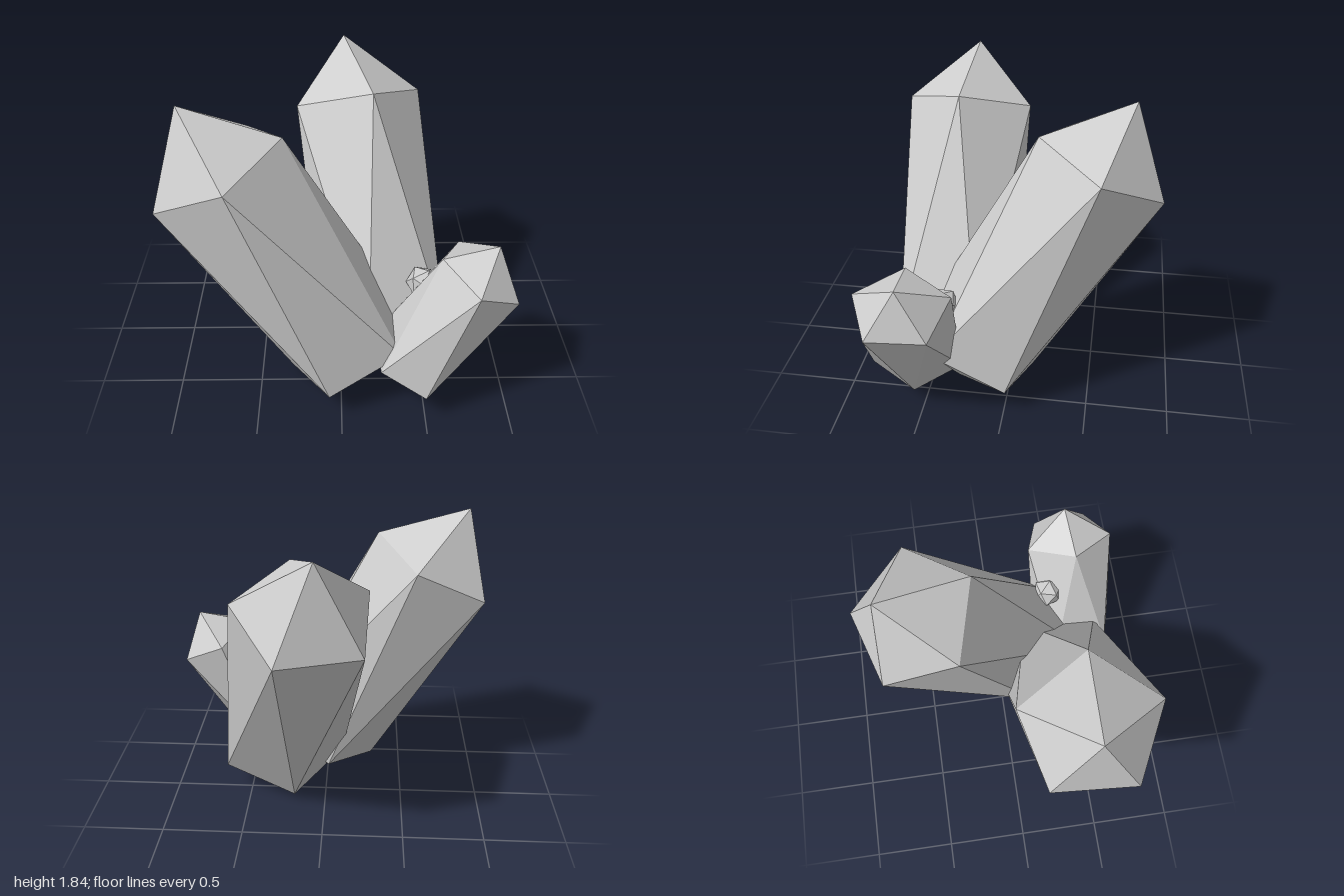
import * as THREE from 'three';
import { ConvexGeometry } from 'three/addons/geometries/ConvexGeometry.js';

const TILT = 0.475; // tilt of the five-sided rings, in radians

// A leaning crystal: two five-sided rings twisted by 36 degrees, each closed by a pointed cap.
// Local x runs against the lean and starts at the tip; local z is the crystal's width.
function crystal(name, { tip, turn, top, bottom, depth, width, topCap, bottomCap }, material) {
  const c = Math.cos(TILT), s = Math.sin(TILT);
  const points = [
    new THREE.Vector3(top[0] - s * topCap, top[1] + c * topCap, 0),
    new THREE.Vector3(bottom[0] + s * bottomCap, bottom[1] - c * bottomCap, 0),
  ];
  for (let i = 0; i < 5; i++) {
    [[top, 0], [bottom, Math.PI / 5]].forEach(([centre, twist]) => {
      const a = i * Math.PI * 2 / 5 + twist;
      const along = depth * Math.cos(a);
      points.push(new THREE.Vector3(centre[0] + c * along, centre[1] + s * along, width * Math.sin(a)));
    });
  }
  const mesh = new THREE.Mesh(new ConvexGeometry(points), material);
  mesh.name = name;
  mesh.position.set(tip[0], 0, tip[1]);
  mesh.rotation.y = turn;
  return mesh;
}

export function createModel() {
  const group = new THREE.Group();
  group.name = 'crystalCluster';
  const material = new THREE.MeshStandardMaterial({ color: 0xcccccc, flatShading: true });

  // Two tall crystals share one shape
  const tall = {
    top: [0.187, 1.478], bottom: [0.943, 0.232],
    depth: 0.42, width: 0.42, topCap: 0.407, bottomCap: 0.26,
  };
  group.add(crystal('rightTallCrystal', { ...tall, tip: [-0.87, 0.37], turn: -0.07 }, material));
  group.add(crystal('backTallCrystal', { ...tall, tip: [0.03, -0.68], turn: -1.266 }, material));

  // Short crystal leaning to the left
  group.add(crystal('leftShortCrystal', {
    tip: [0.89, 0.54], turn: 0.08 - Math.PI,
    top: [0.091, 0.864], bottom: [0.489, 0.216],
    depth: 0.257, width: 0.295, topCap: 0.207, bottomCap: 0.14,
  }, material));

  // Tiny shard tucked in the gap between the crystals
  const shard = new THREE.Mesh(new THREE.IcosahedronGeometry(0.1, 0), material);
  shard.name = 'smallShard';
  shard.position.set(0.49, 0.68, 0.38);
  shard.rotation.set(0.3, 0.4, 0.2);
  group.add(shard);

  return group;
}
